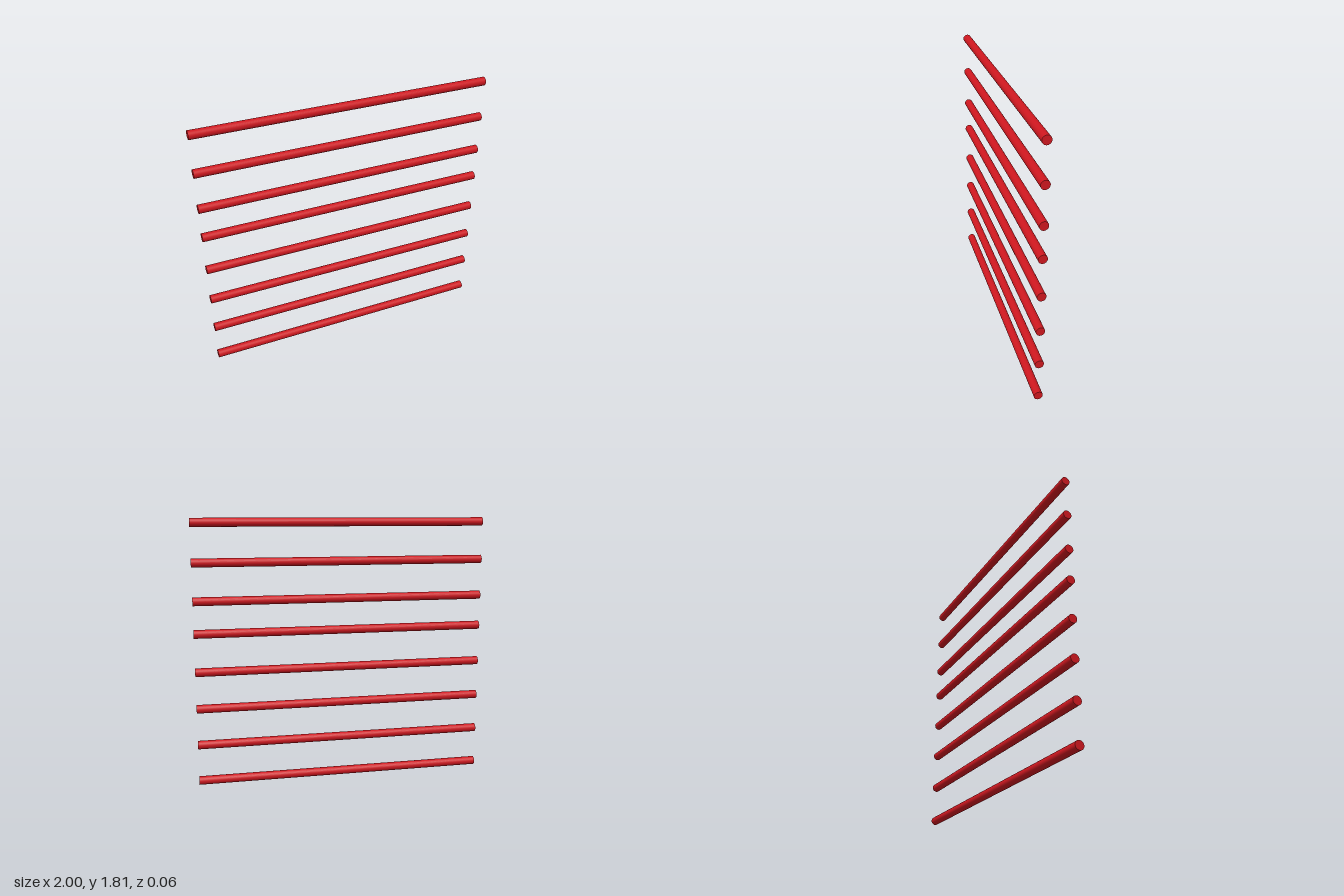
import * as THREE from 'three';

export function createModel() {
  const model = new THREE.Group();
  model.name = 'barSet';

  const radius = 0.029;
  const red = new THREE.MeshStandardMaterial({ color: 0xd01820 });

  // One round bar lying along x, shared by every rung
  const bar = new THREE.CylinderGeometry(radius, radius, 2, 32);
  bar.rotateZ(Math.PI / 2);

  // Heights of the bar centres, from bottom to top
  const heights = [radius, 0.284, 0.537, 0.79, 1.05, 1.267, 1.52, 1.78];
  heights.forEach((y, i) => {
    const mesh = new THREE.Mesh(bar, red);
    mesh.name = `bar${i + 1}`;
    mesh.position.y = y;
    model.add(mesh);
  });

  return model;
}
